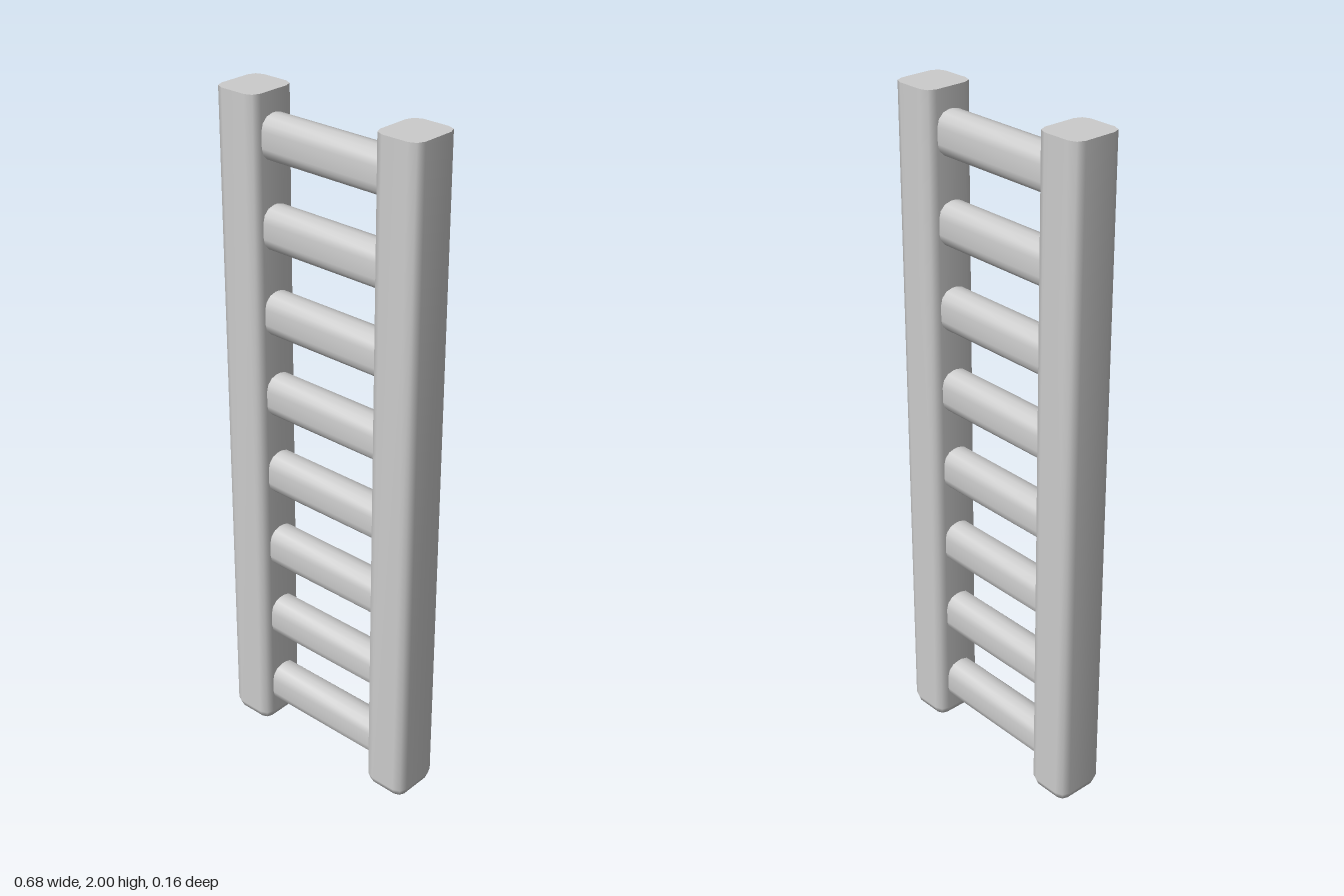
import * as THREE from 'three';
import { mergeVertices } from 'three/addons/utils/BufferGeometryUtils.js';

const material = new THREE.MeshStandardMaterial({ color: 0xcccccc });

// Rectangle with rounded corners; centres of the corners stay put as r changes.
function section(cx, cz, r, steps) {
  const points = [];
  for (let q = 0; q < 4; q++) {
    const sx = q === 0 || q === 3 ? 1 : -1;
    const sz = q < 2 ? 1 : -1;
    for (let i = 0; i <= steps; i++) {
      const a = (q + i / steps) * Math.PI / 2;
      points.push([sx * cx + r * Math.cos(a), sz * cz + r * Math.sin(a)]);
    }
  }
  return points;
}

// Skin a list of { y, r } rings, closing the first ring smoothly.
function loft(cx, cz, rings, steps) {
  const n = 4 * (steps + 1);
  const pos = [];
  const index = [];
  for (const { y, r } of rings) {
    for (const [x, z] of section(cx, cz, r, steps)) pos.push(x, y, z);
  }
  for (let j = 0; j < rings.length - 1; j++) {
    for (let i = 0; i < n; i++) {
      const a = j * n + i, b = j * n + (i + 1) % n;
      index.push(a, a + n, b, b, a + n, b + n);
    }
  }
  for (let i = 1; i < n - 1; i++) index.push(0, i, i + 1);
  const geometry = new THREE.BufferGeometry();
  geometry.setAttribute('position', new THREE.Float32BufferAttribute(pos, 3));
  geometry.setIndex(index);
  const merged = mergeVertices(geometry);
  merged.computeVertexNormals();
  return merged;
}

// Flat lid with a sharp edge, facing up.
function lid(cx, cz, r, steps) {
  const shape = new THREE.Shape(section(cx, cz, r, steps).map(([x, z]) => new THREE.Vector2(x, z)));
  return new THREE.ShapeGeometry(shape).rotateX(-Math.PI / 2);
}

function addMesh(parent, geometry, name) {
  const mesh = new THREE.Mesh(geometry, material);
  mesh.name = name;
  parent.add(mesh);
  return mesh;
}

export function createModel() {
  const model = new THREE.Group();
  model.name = 'ladder';

  // Side rails: rounded foot, flat cut top
  const R = 0.03, cx = 0.07 - R, cz = 0.0775 - R;
  const rings = [0, 1, 2].map((i) => {
    const a = i * Math.PI / 4;
    return { y: R * (1 - Math.cos(a)), r: R * Math.sin(a) };
  });
  rings.push({ y: 2, r: R });
  const railGeometry = loft(cx, cz, rings, 2);
  const lidGeometry = lid(cx, cz, R, 2);
  for (const side of [1, -1]) {
    const rail = new THREE.Group();
    rail.name = side > 0 ? 'leftRail' : 'rightRail';
    rail.position.x = side * 0.27;
    addMesh(rail, railGeometry, 'railBody');
    addMesh(rail, lidGeometry, 'railTop').position.y = 2;
    model.add(rail);
  }

  // Rungs: rounded bars, ends hidden in the rails
  const r = 0.04, half = 0.203;
  const rungShape = new THREE.Shape(
    section(0.047 - r, 0.0625 - r, r, 3).map(([x, y]) => new THREE.Vector2(x, y)));
  const outline = rungShape.getPoints();
  const pos = [], index = [];
  const n = 16;
  for (const x of [-half, half]) {
    for (let i = 0; i < n; i++) pos.push(x, outline[i].y, outline[i].x);
  }
  for (let i = 0; i < n; i++) {
    const k = (i + 1) % n;
    index.push(i, i + n, k, k, i + n, k + n);
  }
  const rungGeometry = new THREE.BufferGeometry();
  rungGeometry.setAttribute('position', new THREE.Float32BufferAttribute(pos, 3));
  rungGeometry.setIndex(index);
  rungGeometry.computeVertexNormals();
  // Winding check: the surface must face away from the bar's axis
  const p = rungGeometry.attributes.position, nn = rungGeometry.attributes.normal;
  if (p.getY(0) * nn.getY(0) + p.getZ(0) * nn.getZ(0) < 0) {
    rungGeometry.setIndex(index.reverse());
    rungGeometry.computeVertexNormals();
  }
  for (let i = 0; i < 8; i++) {
    addMesh(model, rungGeometry, 'rung' + (i + 1)).position.y = 0.128 + i * 0.25;
  }
  return model;
}
